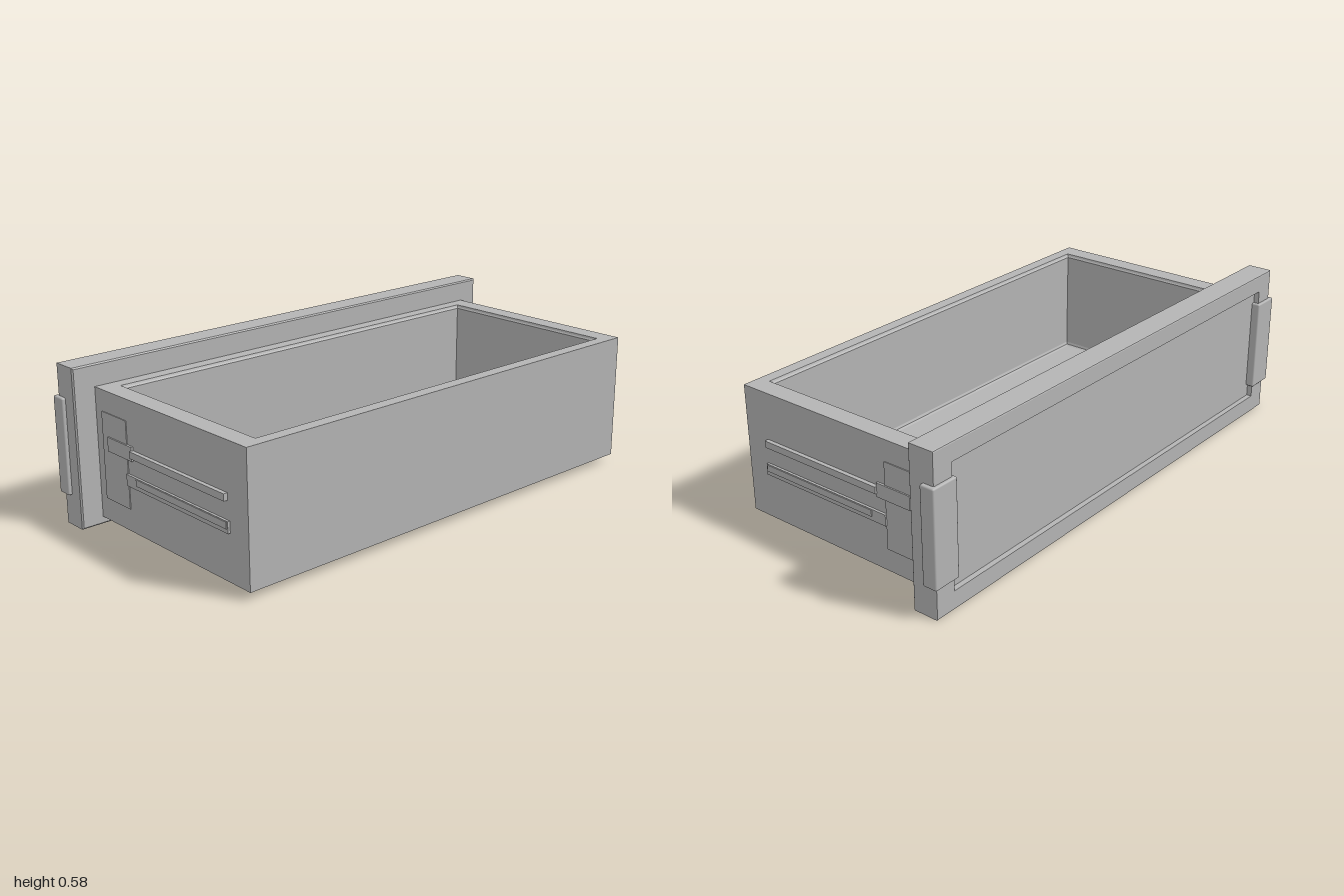
import * as THREE from 'three';
import { RoundedBoxGeometry } from 'three/addons/geometries/RoundedBoxGeometry.js';

// Hollow block from rectangular rings [u0, u1, v0, v1, w], closed at both ends
function ringBlock(rings) {
  const pos = [];
  const corners = ([u0, u1, v0, v1, w]) => [[u0, v0, w], [u1, v0, w], [u1, v1, w], [u0, v1, w]];
  const quad = (a, b, c, d) => [a, b, c, a, c, d].forEach(p => pos.push(...p));
  const loops = rings.map(corners);
  for (let i = 0; i < loops.length - 1; i++) {
    for (let k = 0; k < 4; k++) {
      const n = (k + 1) % 4;
      quad(loops[i][k], loops[i][n], loops[i + 1][n], loops[i + 1][k]);
    }
  }
  quad(...[...loops[0]].reverse());
  quad(...loops[loops.length - 1]);
  const g = new THREE.BufferGeometry();
  g.setAttribute('position', new THREE.Float32BufferAttribute(pos, 3));
  g.computeVertexNormals();
  return g;
}

// Rectangle shrunk on all sides by d, at height w
const inset = ([u0, u1, v0, v1], d, w) => [u0 + d, u1 - d, v0 + d, v1 - d, w];

export function createModel() {
  const model = new THREE.Group();
  const grey = new THREE.MeshStandardMaterial({ color: 0xb4b4b4 });
  grey.name = 'plain grey';

  const add = (name, geometry, parent = model) => {
    const mesh = new THREE.Mesh(geometry, grey);
    mesh.name = name;
    parent.add(mesh);
    return mesh;
  };

  // Open box with a softened rim and floor edge
  const outer = [-0.36, 0.465, -0.903, 0.903];
  const inner = [-0.309, 0.419, -0.832, 0.832];
  const box = ringBlock([
    inset(outer, 0, 0.028), inset(outer, 0, 0.502),
    inset(inner, 0, 0.502), inset(inner, 0.003, 0.495), inset(inner, 0.008, 0.49),
    inset(inner, 0.008, 0.105), inset(inner, 0.012, 0.096), inset(inner, 0.021, 0.092),
  ]);
  box.rotateX(-Math.PI / 2);
  add('drawerBox', box);

  // Drawer face with bevelled edges and a recessed field, facing -x
  const face = [-0.986, 0.986, 0, 0.582];
  const field = [-0.905, 0.905, 0.068, 0.516];
  const panel = ringBlock([
    inset(face, 0.005, 0.358), inset(face, 0, 0.363),
    inset(face, 0, 0.453), inset(face, 0.0015, 0.4565), inset(face, 0.005, 0.458),
    inset(field, 0, 0.458), inset(field, 0, 0.438),
  ]);
  panel.rotateY(-Math.PI / 2);
  add('facePanel', panel);

  for (const side of [1, -1]) {
    const end = side > 0 ? 'Front' : 'Back';

    // Grip wrapped round the end of the face panel
    const grip = add('grip' + end, new RoundedBoxGeometry(0.056, 0.352, 0.108, 2, 0.006));
    grip.position.set(-0.441, 0.291, side * 0.946);

    // Slide hardware on the end wall
    const slide = new THREE.Group();
    slide.name = 'slide' + end;
    model.add(slide);
    const plate = (name, x0, x1, y0, y1, height) => {
      const z0 = 0.9, z1 = 0.903 + height;
      const mesh = add(name, new THREE.BoxGeometry(x1 - x0, y1 - y0, z1 - z0), slide);
      mesh.position.set((x0 + x1) / 2, (y0 + y1) / 2, side * (z0 + z1) / 2);
    };
    plate('mountingPlate', -0.321, -0.177, 0.11, 0.425, 0.003);
    plate('upperBracket', -0.286, -0.144, 0.291, 0.342, 0.008);
    plate('upperRail', -0.146, 0.365, 0.304, 0.329, 0.015);
    plate('lowerRail', -0.179, 0.373, 0.197, 0.238, 0.009);
    plate('lowerRailRidge', -0.12, 0.368, 0.212, 0.236, 0.012);
  }
  return model;
}
